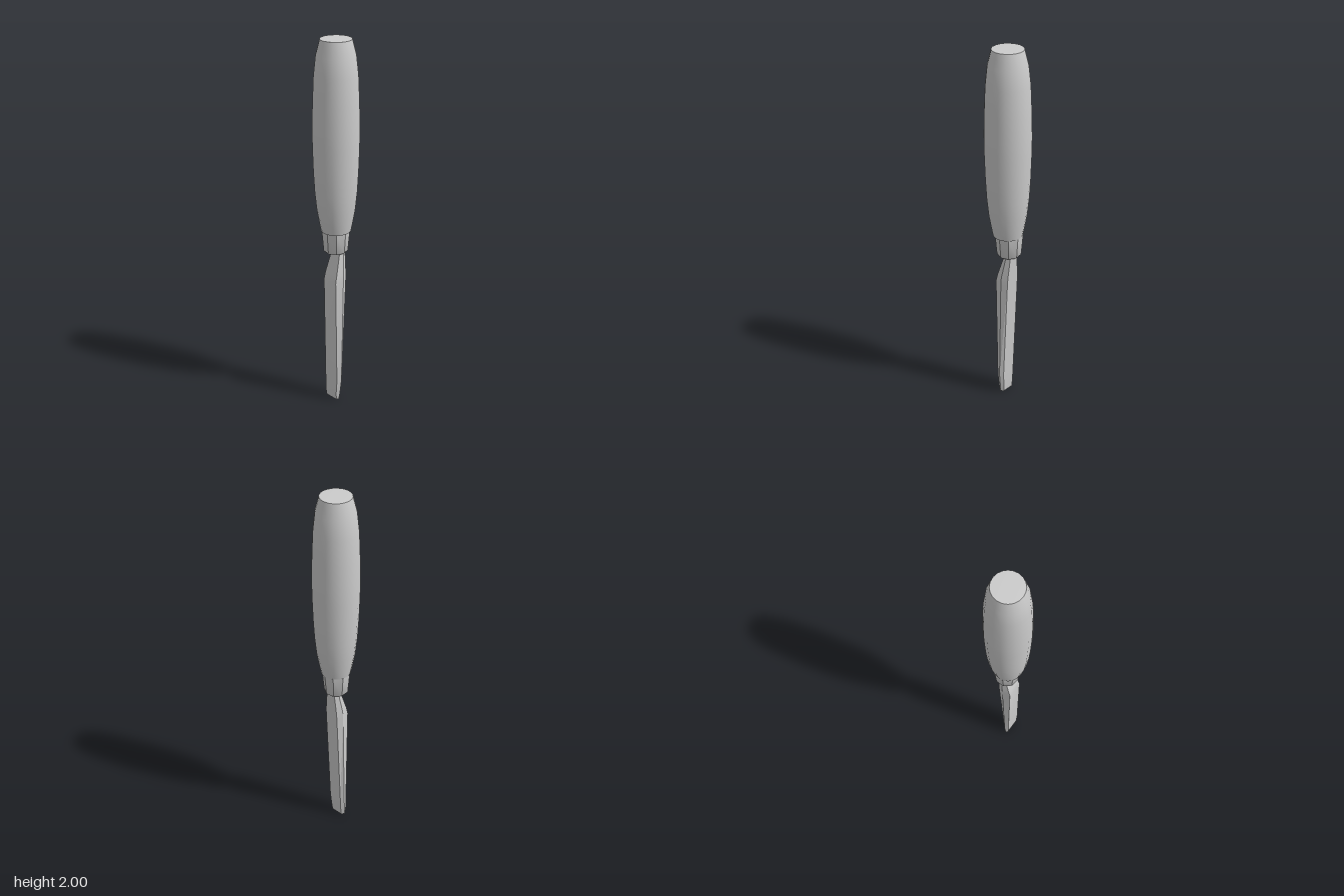
import * as THREE from 'three';
import { toCreasedNormals } from 'three/addons/utils/BufferGeometryUtils.js';

const material = new THREE.MeshStandardMaterial({ color: 0xcccccc });

function addMesh(group, name, geometry, crease) {
  const mesh = new THREE.Mesh(toCreasedNormals(geometry, crease), material);
  mesh.name = name;
  group.add(mesh);
  return mesh;
}

// Turned part from [radius, height] pairs, bottom to top
function turned(profile, sides) {
  return new THREE.LatheGeometry(profile.map(([r, y]) => new THREE.Vector2(r, y)), sides);
}

// Skin over equal-length rings listed bottom to top, with fan caps
function loft(rings) {
  const n = rings[0].length;
  const index = [];
  for (let r = 0; r < rings.length - 1; r++) {
    for (let i = 0; i < n; i++) {
      const a = r * n + i, b = r * n + (i + 1) % n;
      index.push(a, a + n, b, b, a + n, b + n);
    }
  }
  const top = (rings.length - 1) * n;
  for (let i = 1; i < n - 1; i++) {
    index.push(0, i, i + 1);
    index.push(top, top + i + 1, top + i);
  }
  const geometry = new THREE.BufferGeometry();
  geometry.setAttribute('position', new THREE.Float32BufferAttribute(rings.flat(2), 3));
  geometry.setIndex(index);
  return geometry;
}

// Six-sided blade section: wide face at xMin, widest at xMid, narrower at xMax
function bladeRing(y, xMin, xMid, xMax, zFront, zBack) {
  return [
    [xMin, y, zFront * 0.8],
    [xMin, y, zBack * 0.85],
    [xMid, y, zBack],
    [xMax, y, zBack * 0.72],
    [xMax, y, zFront * 0.72],
    [xMid, y, zFront],
  ];
}

export function createModel() {
  const group = new THREE.Group();
  group.name = 'chisel';

  // Barrel-shaped grip
  addMesh(group, 'handle', turned([
    [0, 1], [0.077, 1], [0.085, 1.04], [0.099, 1.12], [0.109, 1.22], [0.115, 1.33],
    [0.119, 1.46], [0.12, 1.55], [0.117, 1.68], [0.111, 1.82], [0.1, 1.92],
    [0.083, 1.985], [0.08, 1.998], [0, 2],
  ], 20), 0.7);

  // Faceted collar between grip and blade
  const collar = addMesh(group, 'ferrule', turned([
    [0, 0.88], [0.058, 0.88], [0.064, 0.888], [0.074, 1.002], [0, 1.002],
  ], 9), 0.6);
  collar.position.set(0.003, 0, -0.006);

  // Tapered blade: cutting tip, long shank, shoulder and neck
  addMesh(group, 'blade', loft([
    bladeRing(0, -0.03, -0.02, -0.004, 0.042, -0.05),
    bladeRing(0.04, -0.035, -0.015, 0.0, 0.046, -0.052),
    bladeRing(0.12, -0.036, -0.012, 0.004, 0.055, -0.052),
    bladeRing(0.72, -0.045, 0.0, 0.033, 0.055, -0.052),
    bladeRing(0.76, -0.036, 0.002, 0.035, 0.053, -0.05),
    bladeRing(0.89, 0.002, 0.02, 0.041, 0.034, -0.034),
  ]), 0.3);

  return group;
}
